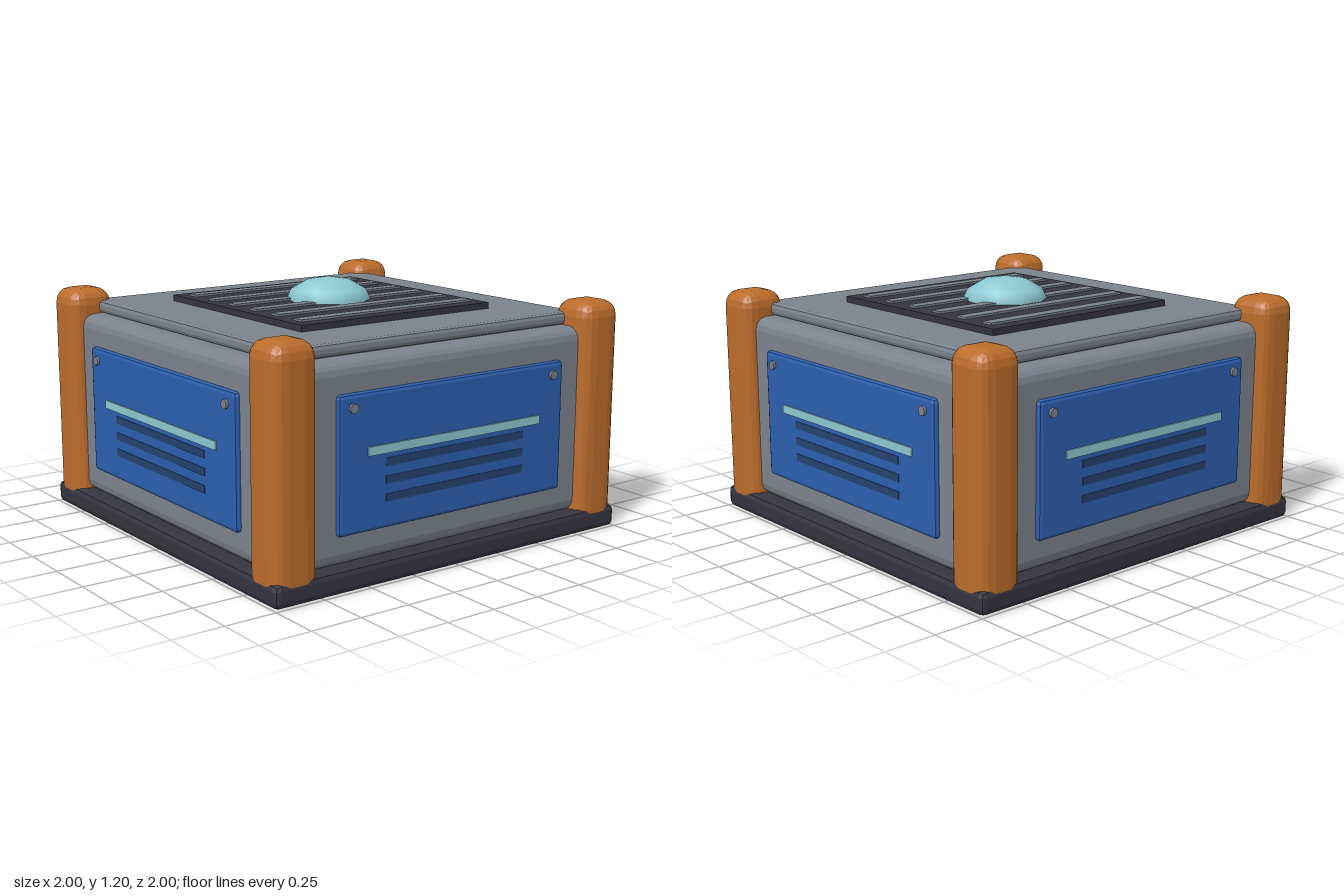
import * as THREE from 'three';
import { RoundedBoxGeometry } from 'three/addons/geometries/RoundedBoxGeometry.js';

const paint = (name, color) => {
  const m = new THREE.MeshStandardMaterial({ color });
  m.name = name;
  return m;
};

export function createModel() {
  const grey = paint('grey metal', 0x7c838d);
  const dark = paint('dark metal', 0x353440);
  const orange = paint('orange', 0xbb6c2b);
  const blue = paint('blue', 0x2c5faf);
  const navy = paint('navy', 0x24426f);
  const cyan = paint('pale cyan', 0x8dc9d1);

  const model = new THREE.Group();
  model.name = 'crate';

  const add = (parent, name, geometry, material, x = 0, y = 0, z = 0) => {
    const mesh = new THREE.Mesh(geometry, material);
    mesh.name = name;
    mesh.position.set(x, y, z);
    parent.add(mesh);
    return mesh;
  };

  // Box with faceted, bevelled edges
  const bevelBox = (w, h, d, radius, segments = 1) => {
    const g = new RoundedBoxGeometry(w, h, d, segments, radius);
    const flat = g.index ? g.toNonIndexed() : g;
    flat.computeVertexNormals();
    return flat;
  };

  // Base, body and lid
  add(model, 'base', bevelBox(2, 0.11, 2, 0.028), dark, 0, 0.055);
  add(model, 'body', bevelBox(1.88, 0.9, 1.88, 0.06, 2), grey, 0, 0.55);
  add(model, 'lid', bevelBox(1.7, 0.06, 1.7, 0.02), grey, 0, 1.03);

  // Corner posts
  const postGeometry = bevelBox(0.235, 1.115, 0.235, 0.075, 2);
  for (const x of [-1, 1]) {
    for (const z of [-1, 1]) {
      add(model, 'cornerPost', postGeometry, orange, x * 0.88, 0.5625, z * 0.88);
    }
  }

  // The same panel on all four sides
  const panelGeometry = bevelBox(1.3, 0.62, 0.05, 0.018);
  const stripGeometry = new THREE.BoxGeometry(1, 0.04, 0.012);
  const slotGeometry = new THREE.BoxGeometry(0.8, 0.036, 0.008);
  const boltGeometry = new THREE.CylinderGeometry(0.022, 0.022, 0.025, 8).rotateX(Math.PI / 2);
  for (let i = 0; i < 4; i++) {
    const side = new THREE.Group();
    side.name = 'sidePanel';
    side.rotation.y = i * Math.PI / 2;
    model.add(side);
    add(side, 'panel', panelGeometry, blue, 0, 0.55, 0.94);
    add(side, 'lightStrip', stripGeometry, cyan, 0, 0.6, 0.966);
    for (const y of [0.54, 0.46, 0.38]) add(side, 'slot', slotGeometry, navy, 0, y, 0.964);
    for (const x of [-0.58, 0.58]) add(side, 'bolt', boltGeometry, grey, x, 0.8, 0.965);
  }

  // Top grille
  add(model, 'grillePlate', new THREE.BoxGeometry(1.1, 0.035, 1.1), dark, 0, 1.0725);
  const barGeometry = new THREE.BoxGeometry(1, 0.02, 0.06);
  for (let i = 0; i < 6; i++) {
    add(model, 'grilleBar', barGeometry, grey, 0, 1.09, -0.45 + i * 0.18);
  }

  // Flattened dome lamp
  const dome = new THREE.SphereGeometry(0.21, 10, 3, 0, Math.PI * 2, 0, Math.PI / 2);
  dome.scale(1, 0.12 / 0.21, 1);
  add(model, 'domeLamp', dome, cyan, 0, 1.08);

  return model;
}
